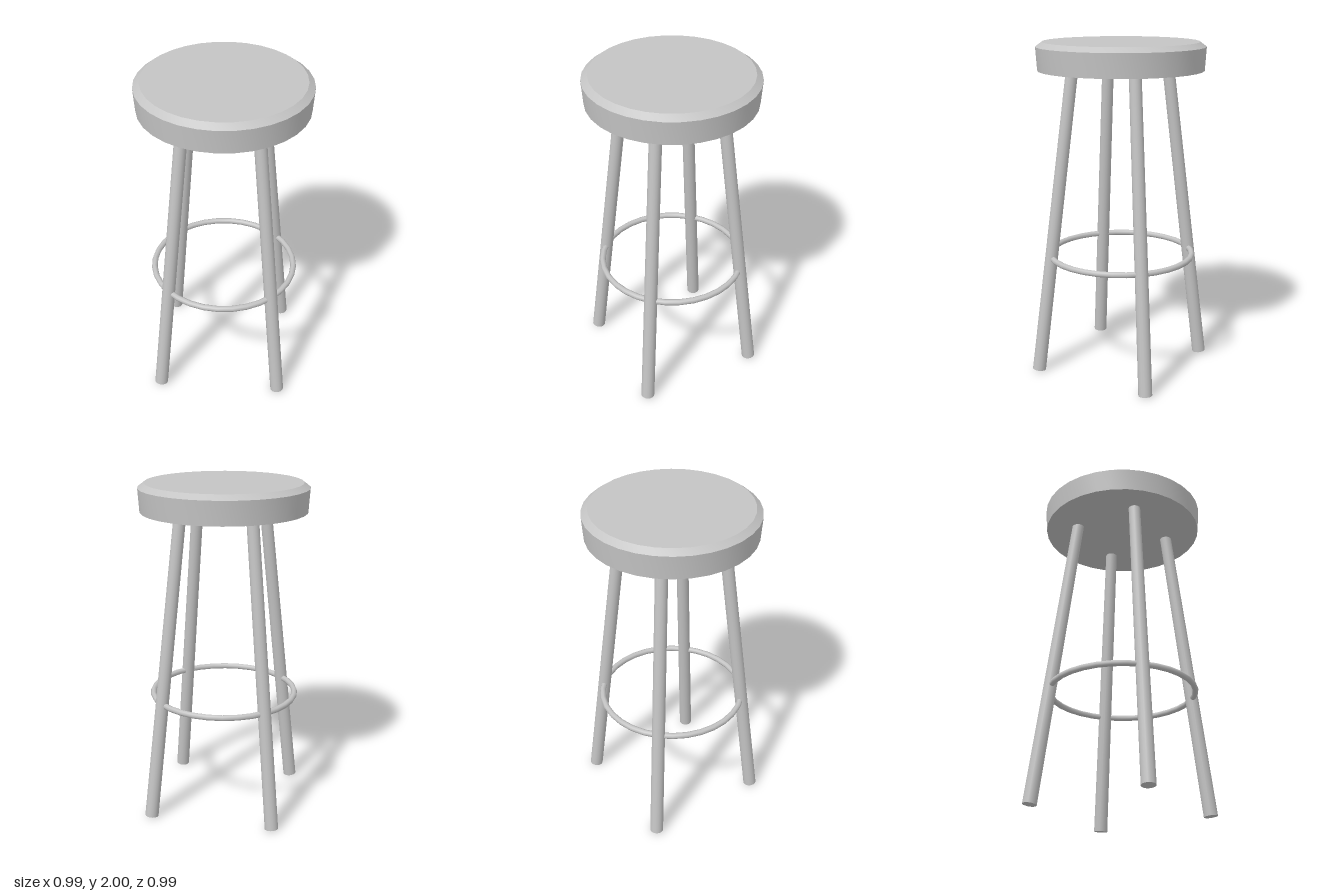
import * as THREE from 'three';
import { toCreasedNormals } from 'three/addons/utils/BufferGeometryUtils.js';

export function createModel() {
  const stool = new THREE.Group();
  stool.name = 'barStool';

  const grey = new THREE.MeshStandardMaterial({ color: 0xc4c4c4 });
  grey.name = 'light grey';

  const add = (name, geometry) => {
    const mesh = new THREE.Mesh(geometry, grey);
    mesh.name = name;
    stool.add(mesh);
    return mesh;
  };

  // Round seat: slightly flared side with a bevelled top edge
  const profile = [[0, 1.835], [0.488, 1.835], [0.497, 1.972], [0.46, 2], [0, 2]]
    .map(([r, y]) => new THREE.Vector2(r, y));
  add('seat', toCreasedNormals(new THREE.LatheGeometry(profile, 32), Math.PI / 7));

  // Four splayed, slightly tapered legs, ending just inside the seat
  const up = new THREE.Vector3(0, 1, 0);
  for (const [side, sx] of [['Left', 1], ['Right', -1]]) {
    for (const [end, sz] of [['front', 1], ['back', -1]]) {
      const foot = new THREE.Vector3(0.372 * sx, 0.005, 0.372 * sz);
      const top = new THREE.Vector3(0.206 * sx, 1.85, 0.206 * sz);
      const axis = top.clone().sub(foot);
      const leg = add(`${end}${side}Leg`, new THREE.CylinderGeometry(0.036, 0.041, axis.length(), 16));
      leg.position.copy(foot).add(top).multiplyScalar(0.5);
      leg.quaternion.setFromUnitVectors(up, axis.normalize());
    }
  }

  // Footrest ring running through the legs
  const ring = add('footrestRing', new THREE.TorusGeometry(0.434, 0.018, 8, 32));
  ring.rotation.x = Math.PI / 2;
  ring.position.y = 0.718;

  return stool;
}
